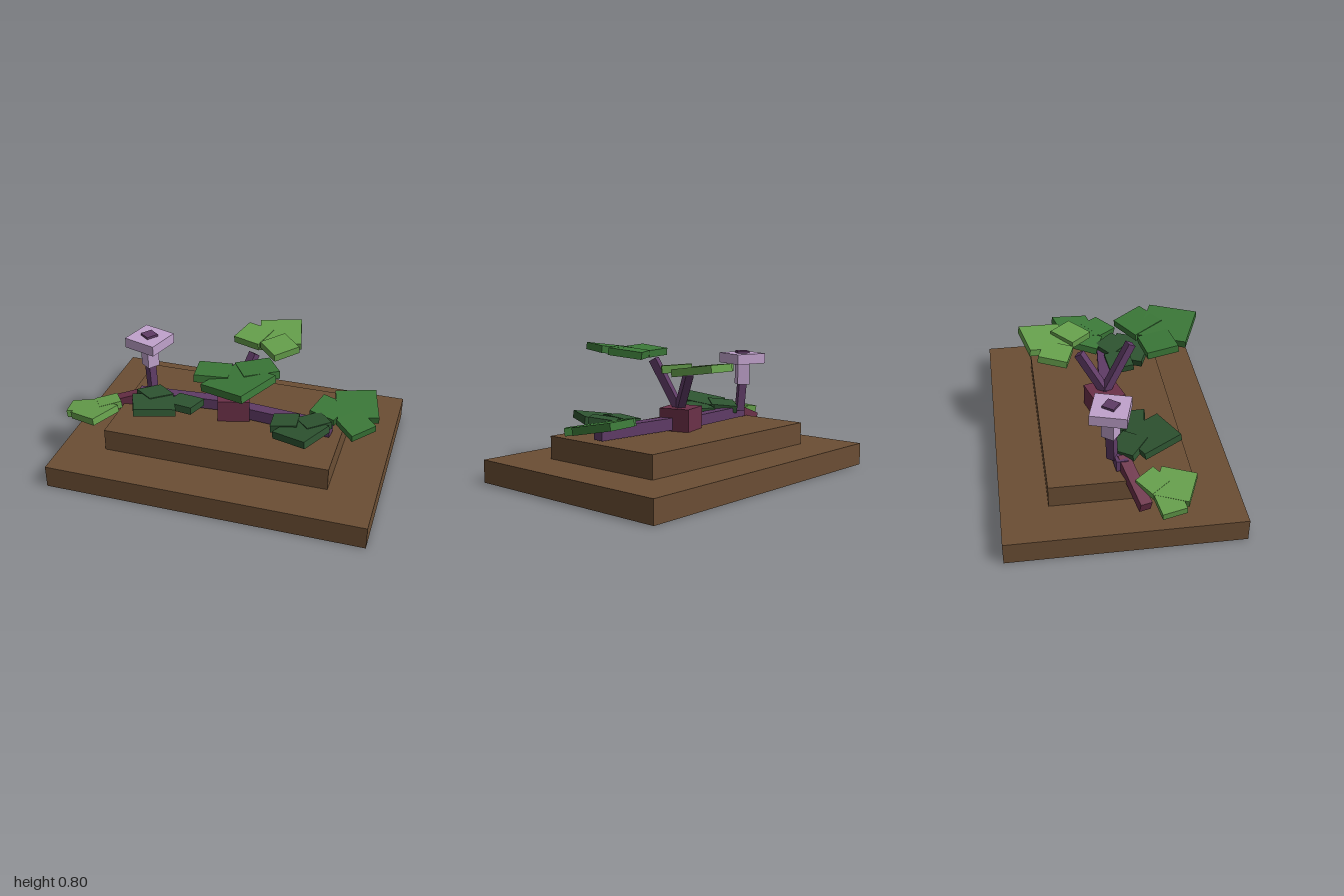
import * as THREE from 'three';

const UP = new THREE.Vector3(0, 1, 0);
const paint = (name, color) => {
  const m = new THREE.MeshStandardMaterial({ color });
  m.name = name;
  return m;
};

export function createModel() {
  const root = new THREE.Group();
  root.name = 'stumpPlant';
  const soil = paint('soil brown', 0x6b4e34);
  const purple = paint('stem purple', 0x5f3b66);
  const maroon = paint('root maroon', 0x6b3048);
  const lilac = paint('petal lilac', 0xc0a2cc);
  const light = paint('light green', 0x66a04c);
  const mid = paint('mid green', 0x3b7838);
  const dark = paint('dark green', 0x2e5431);

  // Box by centre and size, turned about the vertical
  const box = (name, mat, [w, h, d], [x, y, z], yaw = 0, parent = root) => {
    const m = new THREE.Mesh(new THREE.BoxGeometry(w, h, d), mat);
    m.name = name;
    m.position.set(x, y, z);
    m.rotation.y = yaw;
    parent.add(m);
    return m;
  };

  // Square bar between two points
  const bar = (name, mat, a, b, t) => {
    const p = new THREE.Vector3(...a), q = new THREE.Vector3(...b);
    const m = box(name, mat, [t, t, p.distanceTo(q)], [0, 0, 0]);
    m.position.copy(p).add(q).multiplyScalar(0.5);
    m.lookAt(q);
    return m;
  };

  // Three thin square leaves; each is [x, top y, z, size, yaw, slope x, slope z]
  const cluster = (name, mat, leaves) => {
    const g = new THREE.Group();
    g.name = name;
    for (const [x, y, z, s, yaw, sx, sz] of leaves) {
      const t = 0.045;
      const n = new THREE.Vector3(-sx, 1, -sz).normalize();
      const m = box('leaf', mat, [s, t, s], [x, y, z], 0, g);
      m.position.addScaledVector(n, -t / 2);
      m.quaternion.setFromUnitVectors(UP, n)
        .multiply(new THREE.Quaternion().setFromAxisAngle(UP, yaw));
    }
    root.add(g);
  };

  // Stepped ground
  box('lowerGround', soil, [1.955, 0.14, 1.4], [0.0225, 0.07, 0]);
  box('upperGround', soil, [1.395, 0.14, 0.84], [0.0175, 0.21, 0]);

  // Hub and stems
  box('hub', maroon, [0.197, 0.14, 0.197], [0.02, 0.35, 0], 0.28);
  bar('leftStem', purple, [0.02, 0.325, -0.03], [-0.6, 0.325, 0.02], 0.07);
  bar('rightStem', purple, [0.02, 0.325, 0.01], [0.655, 0.325, 0.07], 0.075);
  bar('leftRoot', maroon, [-0.54, 0.335, 0.03], [-0.86, 0.235, 0.115], 0.07);
  bar('frontStalk', purple, [0.025, 0.38, -0.01], [0.082, 0.71, 0.17], 0.05);
  bar('backStalk', purple, [0.02, 0.38, 0.02], [0.11, 0.645, -0.145], 0.05);

  // Flower
  bar('flowerStem', purple, [-0.53, 0.34, -0.03], [-0.545, 0.56, -0.04], 0.05);
  box('flowerNeck', lilac, [0.08, 0.15, 0.08], [-0.542, 0.59, -0.04], -0.65);
  box('flowerHead', lilac, [0.215, 0.065, 0.215], [-0.54, 0.6875, -0.04], -0.29);
  box('flowerCentre', purple, [0.077, 0.04, 0.077], [-0.541, 0.714, -0.04], -0.65);

  // Leaf clusters
  cluster('backTopLeaves', light, [
    [0.225, 0.712, -0.345, 0.26, 0.22, 0.02, -0.15],
    [0.065, 0.705, -0.29, 0.18, -0.31, 0.02, -0.12],
    [0.26, 0.714, -0.18, 0.175, 0.78, 0.02, -0.11],
  ]);
  cluster('frontTopLeaves', mid, [
    [0.168, 0.784, 0.41, 0.3, -0.42, 0.12, 0.055],
    [-0.005, 0.772, 0.32, 0.195, 0.15, 0, 0.1],
    [0.23, 0.78, 0.235, 0.21, 0.54, 0.08, 0.1],
  ]);
  cluster('leftDarkLeaves', dark, [
    [-0.43, 0.41, 0.215, 0.255, 0.41, 0, 0.18],
    [-0.26, 0.39, 0.115, 0.175, -0.18, 0, 0.17],
    [-0.475, 0.39, 0.07, 0.17, -0.7, 0, 0.17],
  ]);
  cluster('rightDarkLeaves', dark, [
    [0.5, 0.402, 0.23, 0.24, -0.44, 0.12, 0.08],
    [0.385, 0.389, 0.145, 0.16, 0.1, 0.12, 0.08],
    [0.555, 0.405, 0.12, 0.16, 0.65, 0.12, 0.08],
  ]);
  cluster('rightLeaves', mid, [
    [0.775, 0.424, -0.1, 0.25, 0.25, 0, -0.19],
    [0.615, 0.411, -0.035, 0.17, -0.32, 0, -0.19],
    [0.8, 0.394, 0.06, 0.17, 0.78, 0, -0.19],
  ]);
  cluster('leftLightLeaves', light, [
    [-0.8, 0.336, 0.29, 0.21, -0.42, 0.16, 0.07],
    [-0.915, 0.313, 0.243, 0.145, 0.17, 0.16, 0.07],
    [-0.755, 0.337, 0.17, 0.14, 0.6, 0.16, 0.07],
  ]);

  return root;
}
